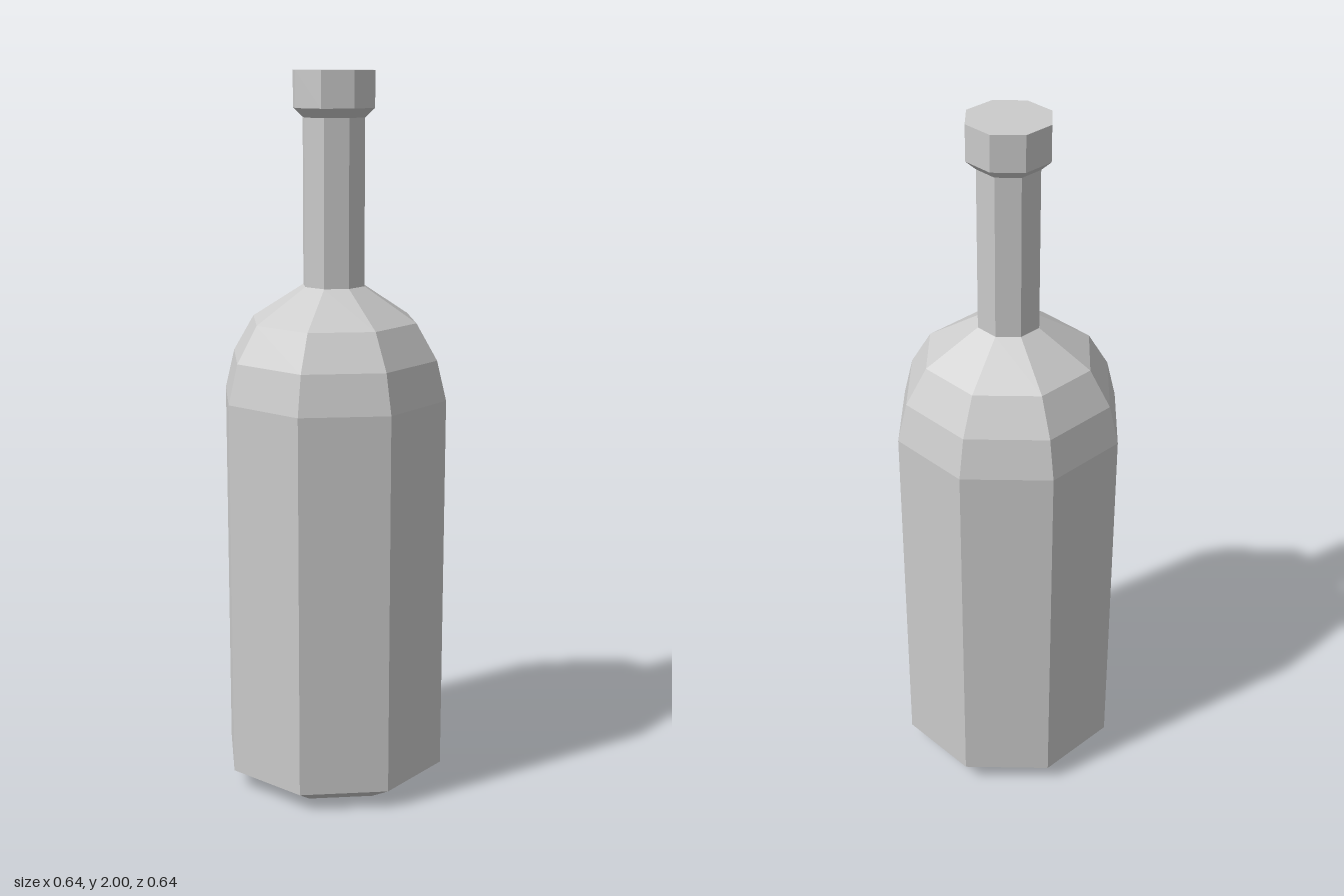
import * as THREE from 'three';

const SIDES = 8;

// Faceted solid of revolution from [radius, height] pairs, bottom to top
function turned(name, profile, material) {
  const points = profile.map(([r, y]) => new THREE.Vector2(r, y));
  const mesh = new THREE.Mesh(new THREE.LatheGeometry(points, SIDES), material);
  mesh.name = name;
  return mesh;
}

export function createModel() {
  const group = new THREE.Group();
  group.name = 'bottle';
  const glass = new THREE.MeshStandardMaterial({
    color: 0xcccccc, flatShading: true, side: THREE.DoubleSide,
  });

  // Body: closed base, chamfered foot, straight wall and stepped shoulder
  group.add(turned('body', [
    [0, 0], [0.233, 0], [0.321, 0.052], [0.321, 1.12],
    [0.294, 1.23], [0.235, 1.33], [0.0875, 1.425],
  ], glass));

  // Slim straight neck
  group.add(turned('neck', [[0.0875, 1.425], [0.0875, 1.877]], glass));

  // Wider lip with a flared underside and a flat closed top
  group.add(turned('lip', [
    [0.0875, 1.877], [0.115, 1.902], [0.115, 2], [0, 2],
  ], glass));

  return group;
}
